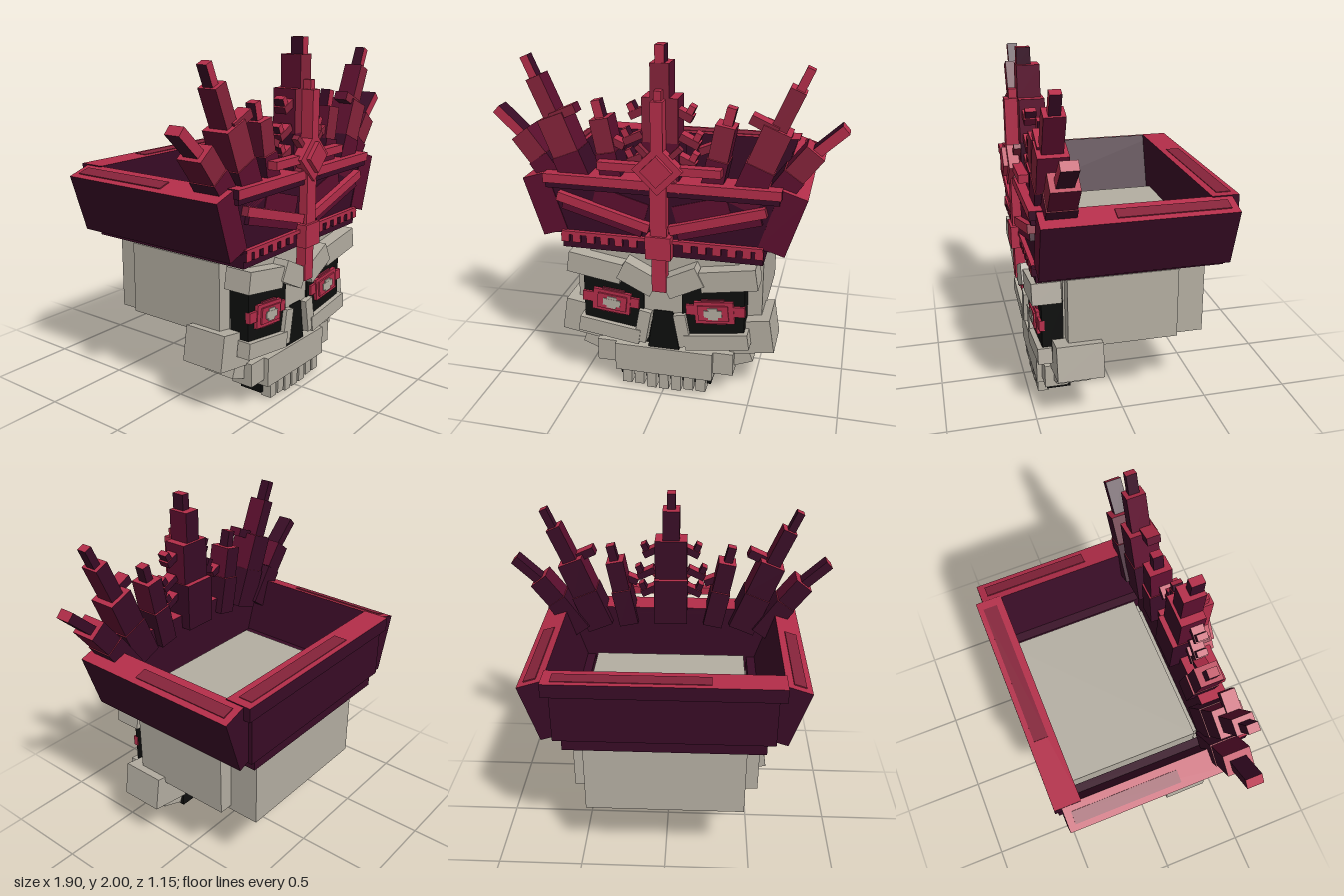
import * as THREE from 'three';

const mat = (name, color) => Object.assign(new THREE.MeshStandardMaterial({ color }), { name });

export function createModel() {
  const model = new THREE.Group();
  model.name = 'crownedSkull';
  const bone = mat('bone', 0xb3ada1), black = mat('black', 0x0e0f0e);
  const crimson = mat('crimson', 0xb32d49), red = mat('midRed', 0x85233a);
  const wine = mat('wine', 0x5c0f2e), maroon = mat('maroon', 0x380b25);

  // Box given by its size and centre, turned about z
  function box(name, m, w, h, d, x, y, z, turn = 0) {
    const mesh = new THREE.Mesh(new THREE.BoxGeometry(w, h, d), m);
    mesh.name = name;
    mesh.position.set(x, y, z);
    mesh.rotation.z = turn;
    model.add(mesh);
    return mesh;
  }
  // Box given by its limits
  const span = (name, m, x0, x1, y0, y1, z0, z1) =>
    box(name, m, x1 - x0, y1 - y0, z1 - z0, (x0 + x1) / 2, (y0 + y1) / 2, (z0 + z1) / 2);
  // The same box on both sides
  const pair = (name, m, w, h, d, x, y, z, turn = 0) => {
    box(name + 'Left', m, w, h, d, x, y, z, turn);
    box(name + 'Right', m, w, h, d, -x, y, z, -turn);
  };
  // Face materials in the order +x, -x, +y, -y, +z, -z
  const spikeMat = [wine, wine, crimson, maroon, red, maroon];
  const lowSpikeMat = [maroon, maroon, crimson, maroon, wine, maroon];
  const rimMat = [maroon, maroon, crimson, maroon, crimson, maroon];

  // Cranium
  span('cranium', bone, -0.455, 0.455, 0.42, 1.0, -0.48, 0.33);
  pair('temple', bone, 0.09, 0.41, 0.62, 0.495, 0.655, 0.01);
  pair('templeTop', bone, 0.06, 0.03, 0.6, 0.475, 0.865, 0.01);
  span('forehead', bone, -0.42, 0.42, 0.69, 0.9, 0.32, 0.43);
  span('noseBridge', bone, -0.11, 0.11, 0.5, 0.72, 0.32, 0.44);

  // Eye sockets and nose
  pair('eyeSocket', black, 0.35, 0.32, 0.12, 0.285, 0.54, 0.39);
  span('faceHollow', black, -0.3, 0.3, 0.26, 0.42, 0.3, 0.4);
  const nose = new THREE.Shape([[-0.09, 0.27], [0.09, 0.27], [0.055, 0.51], [-0.055, 0.51]]
    .map(p => new THREE.Vector2(...p)));
  const noseMesh = new THREE.Mesh(new THREE.ExtrudeGeometry(nose, { depth: 0.12, bevelEnabled: false }), black);
  noseMesh.name = 'noseHole';
  noseMesh.position.z = 0.325;
  model.add(noseMesh);

  // Glowing eyes, stepped from thin slabs
  pair('eyeRim', crimson, 0.22, 0.13, 0.03, 0.295, 0.545, 0.455, 0.1);
  pair('eyeCorner', crimson, 0.33, 0.06, 0.03, 0.3, 0.555, 0.45, 0.06);
  pair('eyeShade', red, 0.13, 0.15, 0.02, 0.29, 0.545, 0.452, 0.1);
  pair('eyeIris', crimson, 0.17, 0.09, 0.02, 0.29, 0.545, 0.47, 0.1);
  pair('pupil', bone, 0.1, 0.04, 0.008, 0.29, 0.545, 0.482, 0.1);
  pair('pupilCore', bone, 0.055, 0.07, 0.008, 0.29, 0.545, 0.481, 0.1);

  // Brows
  pair('outerBrow', bone, 0.31, 0.12, 0.16, 0.375, 0.765, 0.43, 0.16);
  pair('innerBrow', bone, 0.21, 0.12, 0.16, 0.125, 0.73, 0.44, 0.46);

  // Cheeks
  pair('cheek', bone, 0.25, 0.2, 0.26, 0.485, 0.375, 0.265, 0.16);
  pair('cheekBar', bone, 0.36, 0.09, 0.08, 0.31, 0.365, 0.44, 0.14);
  pair('noseSide', bone, 0.07, 0.2, 0.08, 0.115, 0.41, 0.435, 0.18);
  pair('jawHinge', bone, 0.15, 0.09, 0.19, 0.42, 0.23, 0.285, 0.36);

  // Jaw and teeth
  span('upperJaw', bone, -0.4, 0.4, 0.135, 0.27, 0.3, 0.43);
  span('jawFront', bone, -0.285, 0.285, 0.1, 0.27, 0.36, 0.46);
  span('mouth', black, -0.27, 0.27, 0.04, 0.135, 0.26, 0.4);
  for (let i = -3; i <= 3; i++) {
    const low = Math.abs(i) < 2 ? 0 : 0.015;
    span('tooth', bone, i * 0.073 - 0.028, i * 0.073 + 0.028, low, 0.11, 0.385, 0.45);
  }

  // Crown base ring
  pair('baseSide', maroon, 0.08, 0.1, 1.03, 0.515, 0.92, -0.03);
  span('baseBack', maroon, -0.555, 0.555, 0.87, 0.97, -0.545, -0.43);
  span('baseFront', maroon, -0.555, 0.555, 0.87, 0.97, 0.37, 0.49);
  span('baseTrim', rimMat, -0.555, 0.555, 0.952, 0.972, 0.48, 0.51);
  for (const x of [0.15, 0.23, 0.31, 0.39, 0.47, 0.535]) {
    pair('stud', rimMat, 0.045, 0.045, 0.03, x, 0.932, 0.495);
  }

  // Crown walls: flared sides, upright back and front
  const wallMat = [maroon, maroon, crimson, maroon, wine, maroon];
  pair('sideWall', wallMat, 0.147, 0.34, 1.03, 0.6475, 1.113, -0.025, -0.314);
  span('backWall', maroon, -0.6, 0.6, 0.94, 1.24, -0.562, -0.43);
  span('backRim', [maroon, maroon, crimson, maroon, maroon, maroon], -0.64, 0.64, 1.22, 1.3, -0.58, -0.43);
  span('backRimShade', red, -0.25, 0.59, 1.298, 1.304, -0.55, -0.47);
  pair('sideRimShade', red, 0.07, 0.006, 0.6, 0.705, 1.277, -0.2, -0.314);
  span('frontWall', maroon, -0.6, 0.6, 0.95, 1.26, 0.37, 0.485);
  span('frontRimUnder', maroon, -0.63, 0.63, 1.22, 1.25, 0.38, 0.515);
  span('frontRim', rimMat, -0.64, 0.64, 1.25, 1.3, 0.37, 0.525);
  pair('frontWallShade', wine, 0.3, 0.1, 0.008, 0.22, 1.15, 0.486, 0.28);
  pair('frontBeam', [red, red, crimson, maroon, crimson, maroon], 0.53, 0.05, 0.06, 0.31, 1.105, 0.495, 0.28);
  pair('lowerBeam', lowSpikeMat, 0.46, 0.04, 0.04, 0.32, 1.06, 0.49, 0.28);

  // Central ornament
  span('ornamentPeg', crimson, -0.04, 0.04, 0.67, 0.9, 0.47, 0.53);
  span('ornamentBlock', crimson, -0.07, 0.07, 0.87, 1.0, 0.46, 0.55);
  span('ornamentLowerRod', crimson, -0.045, 0.045, 1.0, 1.3, 0.47, 0.535);
  span('ornamentUpperRod', crimson, -0.032, 0.032, 1.3, 1.73, 0.48, 0.55);
  span('ornamentTip', crimson, -0.02, 0.02, 1.7, 1.78, 0.48, 0.525);
  span('ornamentBar', crimson, -0.33, 0.33, 1.345, 1.39, 0.475, 0.53);
  box('ornamentStar', crimson, 0.19, 0.19, 0.06, 0, 1.37, 0.52, Math.PI / 4);
  box('ornamentGem', crimson, 0.12, 0.12, 0.07, 0, 1.37, 0.54, Math.PI / 4);
  pair('ornamentRay', red, 0.16, 0.03, 0.04, 0.06, 1.43, 0.5, 0.78);
  pair('ornamentLowRay', red, 0.16, 0.03, 0.04, 0.06, 1.31, 0.5, -0.78);

  // Central spire
  span('spireBase', lowSpikeMat, -0.1, 0.1, 1.22, 1.5, 0.31, 0.48);
  span('spireMiddle', spikeMat, -0.095, 0.095, 1.5, 1.735, 0.34, 0.48);
  span('spireUpper', spikeMat, -0.05, 0.05, 1.73, 1.91, 0.355, 0.48);
  span('spireTip', rimMat, -0.025, 0.025, 1.9, 2.0, 0.4, 0.475);
  for (const [x, y] of [[0.115, 1.65], [0.15, 1.51], [0.13, 1.4]]) {
    pair('spireBarb', spikeMat, 0.11, 0.04, 0.07, x, y, 0.43, -0.45);
    pair('barbTip', rimMat, 0.035, 0.055, 0.06, x + 0.04, y + 0.02, 0.43, -0.45);
  }

  // Leaning spikes: stacked segments [from, to, width, depth]
  function spike(name, segments, z) {
    segments.forEach(([a, b, w, d], i) => {
      const dx = b[0] - a[0], dy = b[1] - a[1];
      const m = i === 0 ? lowSpikeMat : i === segments.length - 1 ? rimMat : spikeMat;
      pair(name, m, w, Math.hypot(dx, dy), d, (a[0] + b[0]) / 2, (a[1] + b[1]) / 2, z, -Math.atan2(dx, dy));
    });
  }
  spike('innerSpike', [
    [[0.255, 1.2], [0.3, 1.42], 0.115, 0.15],
    [[0.3, 1.42], [0.335, 1.6], 0.105, 0.13],
    [[0.335, 1.58], [0.362, 1.69], 0.05, 0.06]], 0.4);
  spike('tallSpike', [
    [[0.43, 1.18], [0.52, 1.4], 0.16, 0.17],
    [[0.52, 1.4], [0.6, 1.6], 0.15, 0.16],
    [[0.59, 1.57], [0.69, 1.8], 0.085, 0.11],
    [[0.69, 1.78], [0.745, 1.905], 0.045, 0.06]], 0.4);
  spike('outerSpike', [
    [[0.55, 1.16], [0.69, 1.36], 0.125, 0.16],
    [[0.69, 1.36], [0.79, 1.49], 0.115, 0.15],
    [[0.77, 1.46], [0.93, 1.61], 0.055, 0.09]], 0.375);
  pair('tallSpikeBarb', spikeMat, 0.15, 0.05, 0.08, 0.53, 1.62, 0.43, -0.42);
  pair('innerSpikeBarb', spikeMat, 0.07, 0.04, 0.07, 0.235, 1.47, 0.42, 0.4);

  return model;
}
